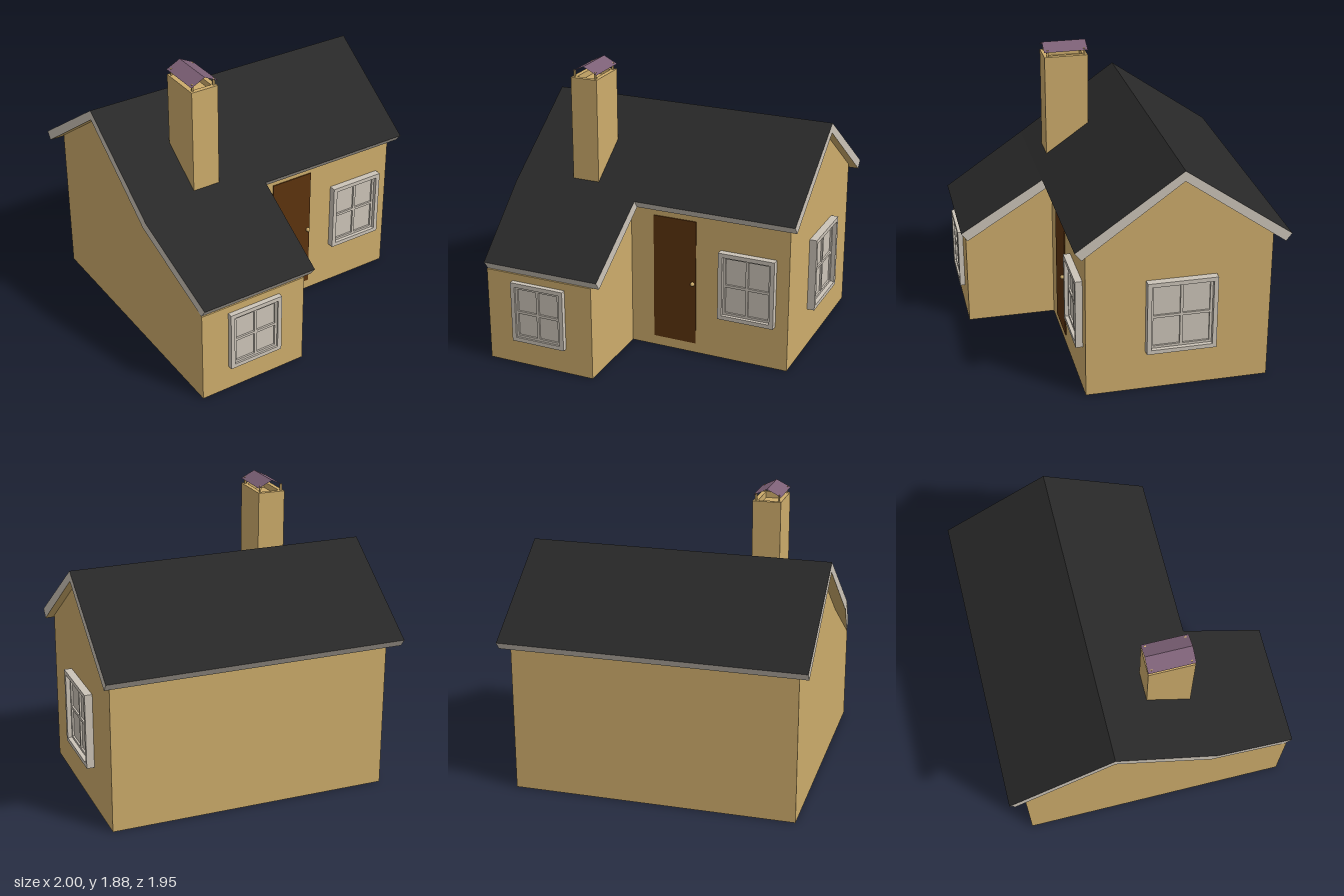
import * as THREE from 'three';

const mat = (name, color, side = THREE.FrontSide) => {
  const m = new THREE.MeshStandardMaterial({ color, side });
  m.name = name;
  return m;
};

export function createModel() {
  const wall = mat('tan plaster', 0xcdac6b);
  const roofing = mat('black roofing', 0x282828);
  const trim = mat('cream trim', 0xccc4b8);
  const wood = mat('brown wood', 0x5c330e);
  const metal = mat('purple metal', 0x7c6076, THREE.DoubleSide);

  const house = new THREE.Group();
  house.name = 'house';

  const add = (parent, name, geometry, material, x = 0, y = 0, z = 0) => {
    const mesh = new THREE.Mesh(geometry, material);
    mesh.name = name;
    mesh.position.set(x, y, z);
    parent.add(mesh);
    return mesh;
  };
  const box = (w, h, d) => new THREE.BoxGeometry(w, h, d);

  // Rectangular ring standing in the xy plane, front facing +z
  const ring = (w, h, border, depth) => {
    const rect = (Type, a, b) => new Type([
      new THREE.Vector2(-a, -b), new THREE.Vector2(a, -b),
      new THREE.Vector2(a, b), new THREE.Vector2(-a, b)]);
    const shape = rect(THREE.Shape, w / 2, h / 2);
    shape.holes.push(rect(THREE.Path, w / 2 - border, h / 2 - border));
    return new THREE.ExtrudeGeometry(shape, { depth, bevelEnabled: false });
  };

  // Walls: side profile [z, y] swept from x0 to x1
  const wallBlock = (name, profile, x0, x1) => {
    const shape = new THREE.Shape(profile.map(([z, y]) => new THREE.Vector2(-z, y)));
    const g = new THREE.ExtrudeGeometry(shape, { depth: x1 - x0, bevelEnabled: false });
    add(house, name, g.rotateY(Math.PI / 2), wall, x0);
  };
  const back = [[-0.86, 0], [-0.86, 1.031], [-0.267, 1.455]];
  wallBlock('mainWalls', [...back, [0.339, 1.014], [0.339, 0]], -0.172, 0.933);
  wallBlock('longWalls', [...back, [0.37, 0.992], [0.938, 0.64], [0.938, 0]], -0.924, -0.172);

  // Roof slab between two cross-sections {top:[z,y], low:[z,y], x0, x1}
  const slab = (name, a, b) => {
    const corners = [];
    for (const s of [a, b])
      for (const [z, y] of [s.top, s.low])
        for (const x of [s.x0, s.x1]) corners.push([x, y, z]);
    // top, underside, then the four edges
    const faces = [[0, 4, 5, 1], [2, 3, 7, 6], [0, 1, 3, 2], [4, 6, 7, 5], [0, 2, 6, 4], [1, 5, 7, 3]];
    const pos = [];
    for (const [p, q, r, s] of faces)
      for (const i of [p, q, r, p, r, s]) pos.push(...corners[i]);
    const g = new THREE.BufferGeometry();
    g.setAttribute('position', new THREE.Float32BufferAttribute(pos, 3));
    g.computeVertexNormals();
    g.addGroup(0, 6, 0);
    g.addGroup(6, 6, 1);
    g.addGroup(12, 24, 2);
    add(house, name, g, [roofing, wall, trim]);
  };
  const L = -0.995, R = 0.985, E = -0.115;
  const backEave = { top: [-0.963, 1.035], low: [-0.925, 0.985], x0: L, x1: R };
  const ridge = { top: [-0.267, 1.522], low: [-0.267, 1.455], x0: L, x1: R };
  const frontEave = { top: [0.413, 1.045], low: [0.37, 0.992], x0: L, x1: R };
  slab('backRoof', backEave, ridge);
  slab('frontRoof', ridge, frontEave);
  slab('extensionRoof', { ...frontEave, x1: E },
    { top: [0.973, 0.7], low: [0.932, 0.643], x0: -0.923, x1: E });

  // Windows: frame, recessed pane and crossing bars
  const addWindow = (name, w, h, depth, x, y, z, turn = 0) => {
    const win = new THREE.Group();
    win.name = name;
    add(win, 'frame', ring(w, h, 0.028, depth), trim);
    add(win, 'sash', ring(w - 0.056, h - 0.056, 0.016, 0.022), trim);
    add(win, 'pane', box(w - 0.05, h - 0.05, 0.01), trim, 0, 0, 0.005);
    add(win, 'uprightBar', box(0.018, h - 0.06, 0.012), trim, 0, 0, 0.016);
    add(win, 'crossBar', box(w - 0.06, 0.018, 0.012), trim, 0, 0, 0.016);
    win.position.set(x, y, z);
    win.rotation.y = turn;
    house.add(win);
  };
  addWindow('frontWindow', 0.385, 0.47, 0.046, 0.654, 0.54, 0.339);
  addWindow('extensionWindow', 0.375, 0.415, 0.034, -0.548, 0.383, 0.938);
  addWindow('sideWindow', 0.455, 0.505, 0.05, 0.933, 0.528, -0.273, Math.PI / 2);

  // Door and knob
  add(house, 'door', box(0.3, 0.875, 0.008), wood, 0.141, 0.507, 0.342);
  add(house, 'doorKnob', new THREE.SphereGeometry(0.015, 12, 8), wall, 0.272, 0.505, 0.358);

  // Chimney: solid shaft, hollow rim, four posts and a folded cap
  const chimney = new THREE.Group();
  chimney.name = 'chimney';
  chimney.position.set(-0.507, 0, 0.18);
  house.add(chimney);
  add(chimney, 'shaft', box(0.186, 0.78, 0.295), wall, 0, 1.37, 0);
  add(chimney, 'rim', ring(0.186, 0.295, 0.03, 0.04).rotateX(-Math.PI / 2), wall, 0, 1.76, 0);
  for (const sx of [-1, 1]) {
    for (const sz of [-1, 1])
      add(chimney, 'capPost', box(0.012, 0.046, 0.012), wall, sx * 0.075, 1.822, sz * 0.125);
    const plate = new THREE.PlaneGeometry(Math.hypot(0.095, 0.047), 0.298).rotateX(-Math.PI / 2);
    add(chimney, 'capPlate', plate, metal, sx * 0.0475, 1.8575, 0)
      .rotation.z = -sx * Math.atan2(0.047, 0.095);
  }

  // The whole house stands turned by one degree
  house.rotation.y = -0.0175;
  const model = new THREE.Group();
  model.name = 'cottage';
  model.add(house);
  return model;
}
